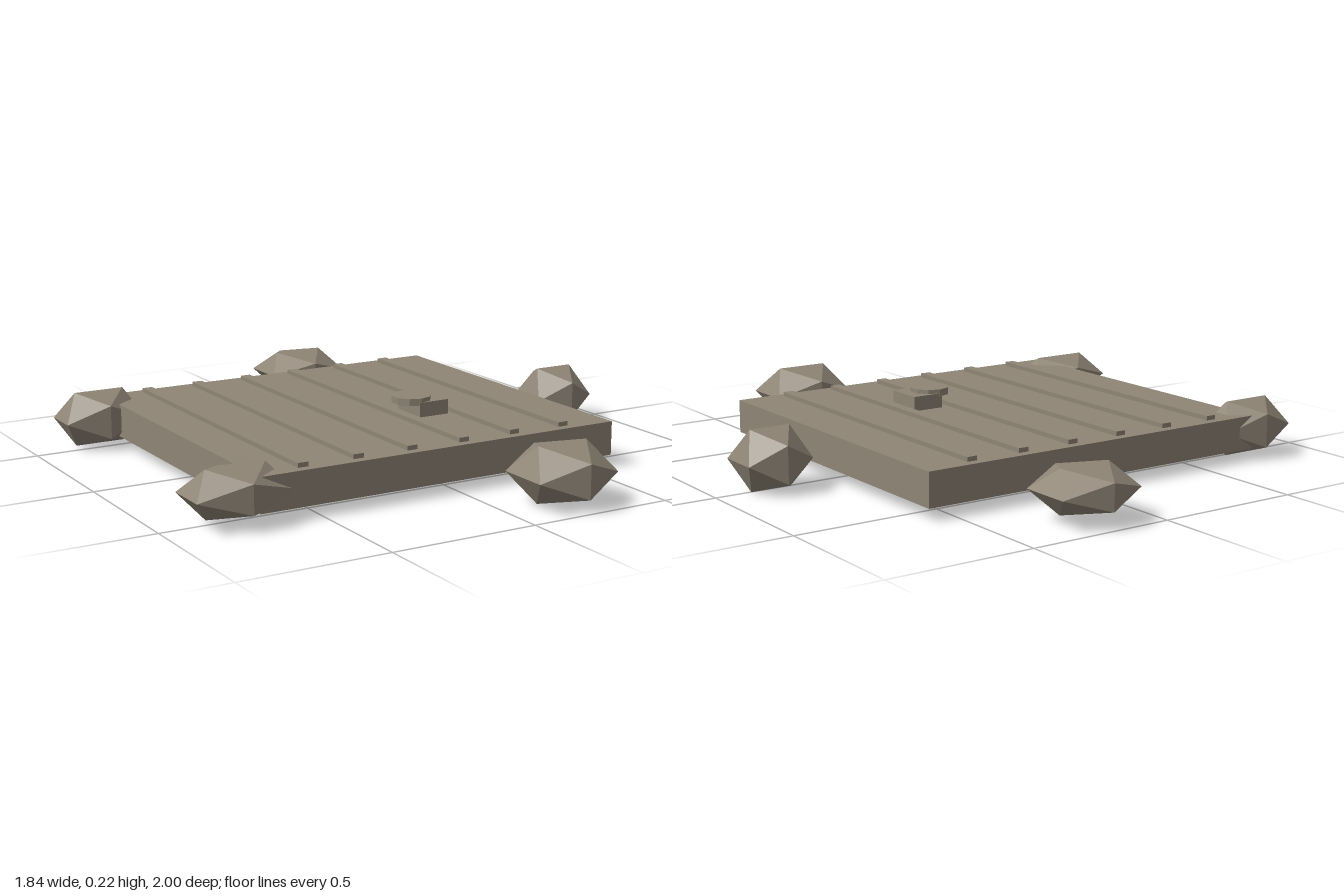
import * as THREE from 'three';

export function createModel() {
  const model = new THREE.Group();
  model.name = 'rockRaft';

  const stone = new THREE.MeshStandardMaterial({ color: 0x8f8576, flatShading: true });
  stone.name = 'warm grey stone';

  function add(name, geometry, x, y, z, parent = model) {
    const mesh = new THREE.Mesh(geometry, stone);
    mesh.name = name;
    mesh.position.set(x, y, z);
    parent.add(mesh);
    return mesh;
  }

  // Box given by its lower and upper bounds
  function addBox(name, [x0, y0, z0], [x1, y1, z1], parent) {
    const geometry = new THREE.BoxGeometry(x1 - x0, y1 - y0, z1 - z0);
    return add(name, geometry, (x0 + x1) / 2, (y0 + y1) / 2, (z0 + z1) / 2, parent);
  }

  // Floor slab
  addBox('deck', [-0.715, 0.041, -0.608], [0.598, 0.156, 0.603]);

  // Raised battens running front to back
  const battens = new THREE.Group();
  battens.name = 'battens';
  model.add(battens);
  for (let i = 0; i < 6; i++) {
    const x = -0.553 + i * 0.1945;
    addBox('batten', [x - 0.018, 0.15, -0.577], [x + 0.018, 0.171, 0.572], battens);
  }

  // Small block with an overhanging disc
  addBox('block', [0.077, 0.15, 0.1], [0.19, 0.206, 0.235]);
  add('disc', new THREE.CylinderGeometry(0.068, 0.068, 0.024, 10), 0.085, 0.208, 0.167);

  // Boulders: centre x, z, then half extents x, y, z
  const boulders = new THREE.Group();
  boulders.name = 'boulders';
  model.add(boulders);
  const reach = 0.8507; // extent of a unit icosahedron along each axis
  const boulderSizes = [
    ['frontBoulder', 0.206, 0.852, 0.149, 0.092, 0.148],
    ['backBoulder', 0.206, -0.857, 0.149, 0.072, 0.143],
    ['leftBoulder', 0.804, -0.002, 0.115, 0.102, 0.119],
    ['frontCornerBoulder', -0.757, 0.524, 0.163, 0.078, 0.121],
    ['backCornerBoulder', -0.757, -0.53, 0.143, 0.094, 0.106],
  ];
  for (const [name, x, z, hx, hy, hz] of boulderSizes) {
    const geometry = new THREE.IcosahedronGeometry(1 / reach, 0).scale(hx, hy, hz);
    geometry.computeVertexNormals();
    add(name, geometry, x, 0.102, z, boulders);
  }

  return model;
}
